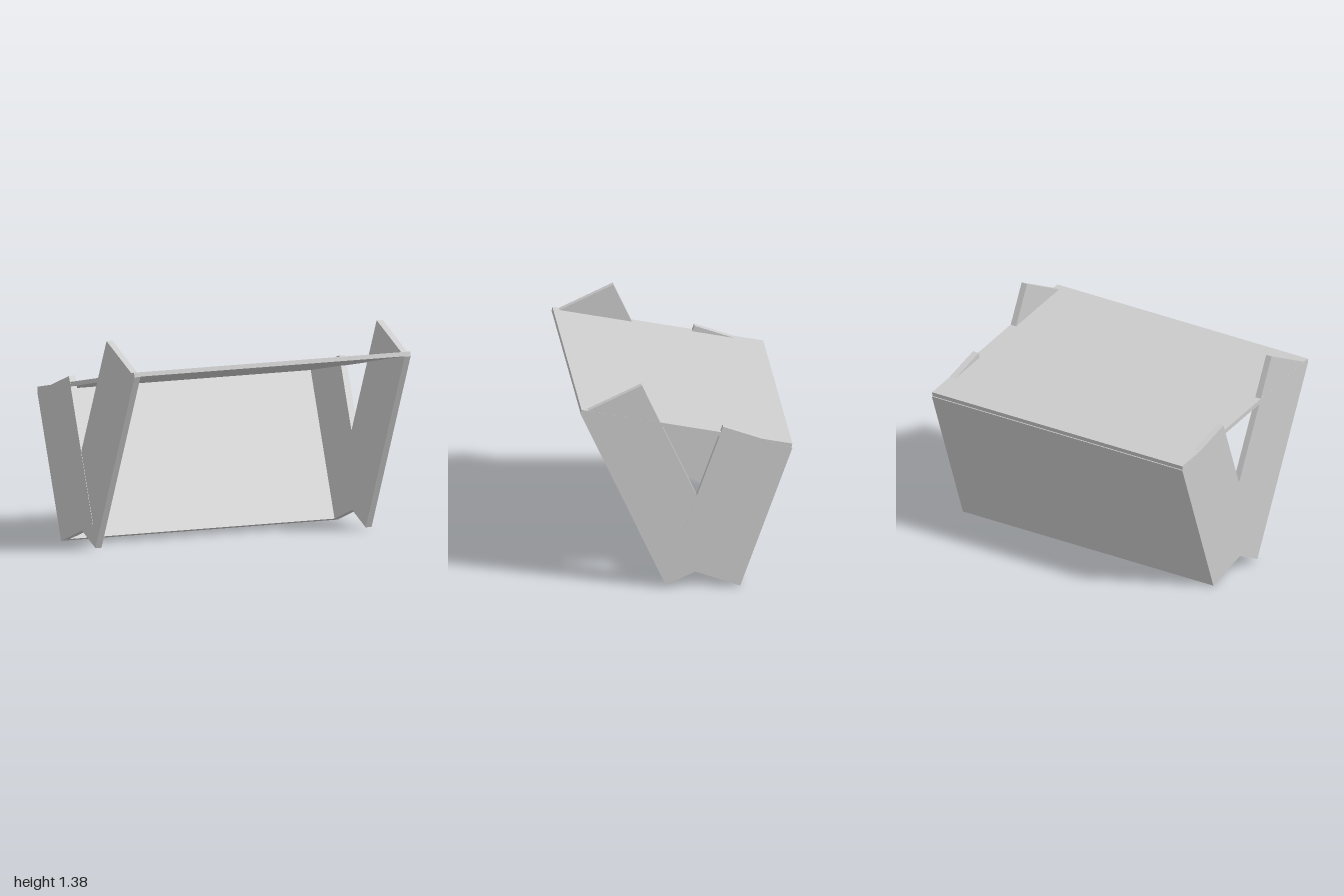
import * as THREE from 'three';

const material = new THREE.MeshStandardMaterial({ color: 0xcccccc, flatShading: true });

// Board with a (z, y) outline, running in x from x0 to x1
function board(name, outline, x0, x1) {
  const shape = new THREE.Shape(outline.map(([z, y]) => new THREE.Vector2(-z, y)));
  const geometry = new THREE.ExtrudeGeometry(shape, { depth: x1 - x0, bevelEnabled: false });
  geometry.rotateY(Math.PI / 2);
  geometry.translate(x0, 0, 0);
  const mesh = new THREE.Mesh(geometry, material);
  mesh.name = name;
  return mesh;
}

export function createModel() {
  const group = new THREE.Group();
  group.name = 'desk';

  const thickness = 0.045;
  const frontOutline = [[0.135, 0.02], [0.685, 1.205], [0.29, 1.388], [-0.26, 0.203]];
  const rearOutline = [[-0.345, 0.003], [-0.682, 0.93], [-0.235, 1.09], [0.102, 0.165]];

  // Crossed side boards, a hair apart at the outer faces
  for (const [side, s] of [['left', 1], ['right', -1]]) {
    const span = (outer) => [s * (1 - thickness), s * outer].sort((a, b) => a - b);
    group.add(board(side + 'FrontLeg', frontOutline, ...span(0.998)));
    group.add(board(side + 'RearLeg', rearOutline, ...span(1)));
  }

  // Leaning back panel along the rear edge of the rear legs
  group.add(board('backPanel',
    [[-0.345, 0.003], [-0.682, 0.93], [-0.64, 0.945], [-0.303, 0.018]], -0.999, 0.999));

  // Sloping top through the legs
  group.add(board('top',
    [[0.685, 1.207], [0.68, 1.235], [-0.682, 0.96], [-0.676, 0.932]], -0.999, 0.999));

  return group;
}
